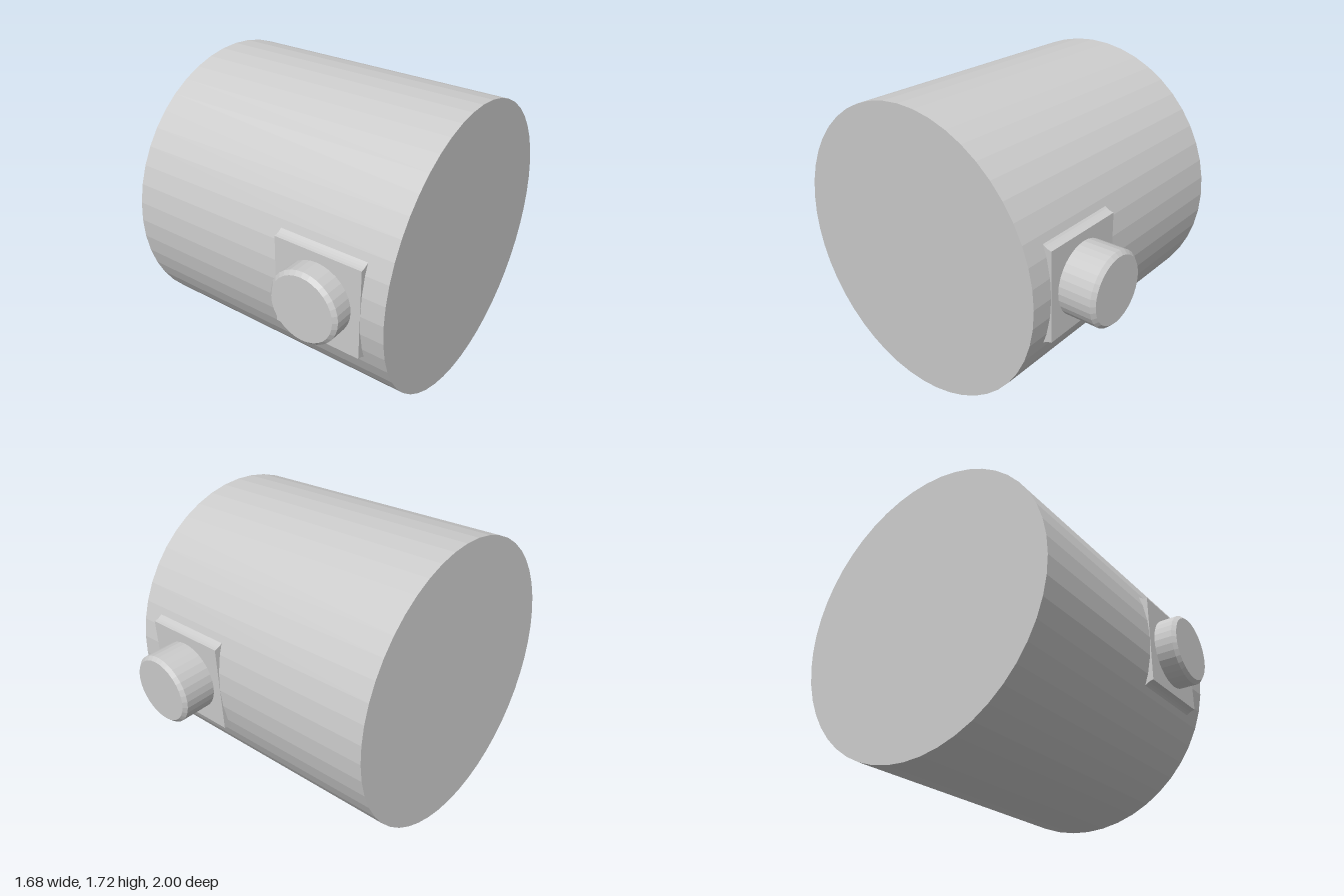
import * as THREE from 'three';

const R = 0.836, LENGTH = 1.626, TILT = -0.03;
const AXIS_Z = 0.041;      // barrel axis sits slightly forward
const PIN_X = 0.426;       // pin position along the barrel

const material = new THREE.MeshStandardMaterial({ color: 0xcccccc, flatShading: true });

function addMesh(parent, name, geometry) {
  const mesh = new THREE.Mesh(geometry, material);
  mesh.name = name;
  parent.add(mesh);
  return mesh;
}

// Square mounting pad with a concave flare down to the barrel, facing +z
function padGeometry() {
  const half = 0.256, top = R + 0.001, foot = 0.29, base = 0.775;
  const s = new THREE.Shape();
  s.moveTo(-half, top);
  s.lineTo(half, top);
  s.quadraticCurveTo(half + 0.004, 0.8, foot, base);
  s.lineTo(-foot, base);
  s.quadraticCurveTo(-half - 0.004, 0.8, -half, top);
  const g = new THREE.ExtrudeGeometry(s, { depth: half * 2, bevelEnabled: false, curveSegments: 5 });
  g.translate(0, 0, -half);
  // profile (x, y) -> (y, z), extrusion -> x
  const m = new THREE.Matrix4().makeBasis(
    new THREE.Vector3(0, 1, 0), new THREE.Vector3(0, 0, 1), new THREE.Vector3(1, 0, 0));
  return g.applyMatrix4(m);
}

// Round pin with chamfered end, from inside the barrel out to z = tip
function pinGeometry(tip) {
  const r = 0.203, c = 0.02;
  const points = [[0, 0.7], [r, 0.7], [r, tip - c], [r - c, tip], [0, tip]]
    .map(([x, y]) => new THREE.Vector2(x, y));
  return new THREE.LatheGeometry(points, 32).rotateX(Math.PI / 2);
}

export function createModel() {
  const model = new THREE.Group();
  model.name = 'tiltedBarrel';

  const body = new THREE.Group();
  body.name = 'body';
  body.position.set(0, 0.861, AXIS_Z);
  body.rotation.z = TILT;
  model.add(body);

  // Main drum, lying along x
  addMesh(body, 'drum', new THREE.CylinderGeometry(R, R, LENGTH, 48).rotateZ(Math.PI / 2));

  // Pad and pin on each side
  for (const side of [1, -1]) {
    const mount = new THREE.Group();
    mount.name = side > 0 ? 'frontMount' : 'backMount';
    mount.position.x = PIN_X;
    if (side < 0) mount.rotation.y = Math.PI;
    body.add(mount);
    addMesh(mount, 'pad', padGeometry());
    addMesh(mount, 'pin', pinGeometry(1 - side * AXIS_Z));
  }
  return model;
}
